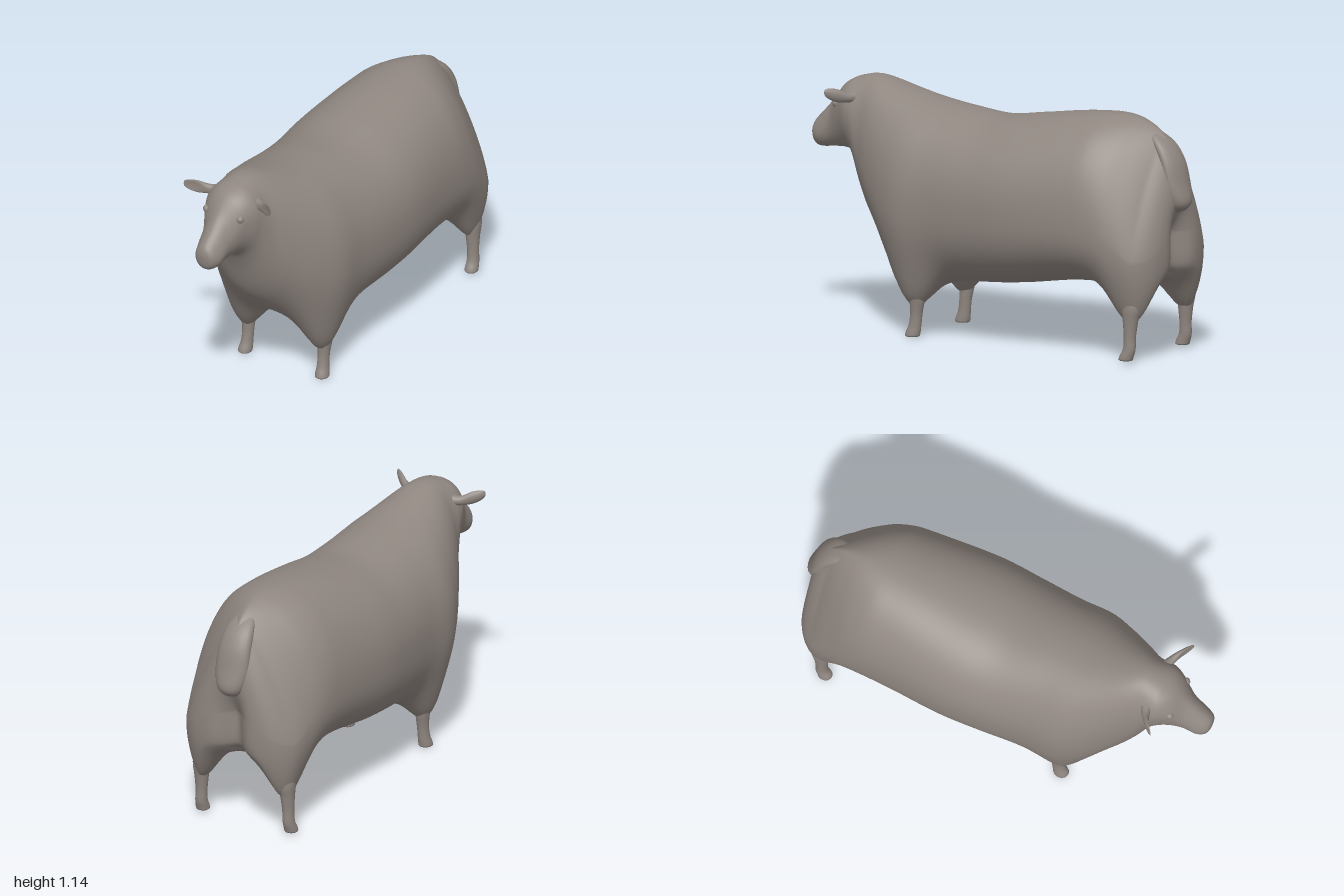
import * as THREE from 'three';

const wool = new THREE.MeshStandardMaterial({ color: 0x8f8680 });
wool.name = 'warm grey';

// Closed tube-like surface: point(u, v) with u around (0..1) and v along (0..1)
function loft(point, around, along) {
  const pos = [], idx = [];
  for (let i = 0; i <= along; i++)
    for (let j = 0; j < around; j++) pos.push(...point(j / around, i / along));
  for (let i = 0; i < along; i++)
    for (let j = 0; j < around; j++) {
      const k = (j + 1) % around;
      const a = i * around + j, b = i * around + k, c = a + around, d = b + around;
      idx.push(a, b, c, b, d, c);
    }
  const g = new THREE.BufferGeometry();
  g.setAttribute('position', new THREE.Float32BufferAttribute(pos, 3));
  g.setIndex(idx);
  g.computeVertexNormals();
  return g;
}

function add(parent, geometry, name) {
  const m = new THREE.Mesh(geometry, wool);
  m.name = name;
  parent.add(m);
  return m;
}

const spline = (pts) => new THREE.CatmullRomCurve3(pts.map((p) => new THREE.Vector3(...p)), false, 'catmullrom', 0.5);
const power = (c, n) => Math.sign(c) * Math.abs(c) ** (2 / n);
const bell = (d, s) => Math.exp(-((d / s) ** 2));
const ramp = (x) => Math.min(1, Math.max(0, x));

// Sections from rump to nose: z, top, bottom, half width, height of widest point
const sections = [
  [-0.963, 0.58, 0.58, 0, 0.58],
  [-0.958, 0.80, 0.44, 0.14, 0.53],
  [-0.932, 0.92, 0.39, 0.225, 0.48],
  [-0.87, 1.01, 0.355, 0.288, 0.46],
  [-0.78, 1.065, 0.34, 0.318, 0.52],
  [-0.66, 1.09, 0.33, 0.34, 0.60],
  [-0.45, 1.08, 0.317, 0.355, 0.64],
  [-0.2, 1.045, 0.28, 0.37, 0.65],
  [0, 1.02, 0.260, 0.36, 0.64],
  [0.2, 1.04, 0.258, 0.343, 0.63],
  [0.36, 1.065, 0.29, 0.338, 0.62],
  [0.48, 1.095, 0.35, 0.293, 0.65],
  [0.6, 1.13, 0.455, 0.222, 0.74],
  [0.67, 1.139, 0.55, 0.175, 0.82],
  [0.73, 1.128, 0.70, 0.148, 0.94],
  [0.77, 1.115, 0.77, 0.135, 0.975],
  [0.82, 1.085, 0.787, 0.108, 0.97],
  [0.88, 1.015, 0.786, 0.077, 0.90],
  [0.94, 0.95, 0.78, 0.067, 0.85],
  [0.975, 0.915, 0.785, 0.053, 0.845],
  [0.993, 0.89, 0.812, 0.034, 0.85],
  [1.0, 0.86, 0.86, 0, 0.86],
];

function bodyGeometry() {
  const heights = spline(sections.map(([z, t, b]) => [z, t, b]));
  const widths = spline(sections.map(([, , , w, m]) => [w, m, 0]));
  return loft((u, v) => {
    const { x: z0, y: top, z: bottom } = heights.getPoint(v);
    const { x: w, y: mid } = widths.getPoint(v);
    const c = Math.cos(u * 2 * Math.PI), s = Math.sin(u * 2 * Math.PI);
    // boxy flanks, a rump sloping off to low haunches, a narrower upper face
    const n = s < 0
      ? 2.05 + 0.4 * ramp((0.65 - z0) / 0.3)
      : 2.1 - 0.8 * ramp((-0.6 - z0) / 0.27) - 0.35 * ramp((z0 - 0.78) / 0.1);
    const x = w * power(c, n);
    let y = mid + power(s, n) * (s > 0 ? top - mid : mid - bottom);
    let z = z0;
    // draw the underside down into shoulders and haunches
    const low = ramp(-s * 1.4);
    y -= low * bell(Math.abs(x) - 0.215, 0.1) * 0.19 * bell(z0 - 0.345, 0.13);
    y -= low * bell(Math.abs(x) - 0.235, 0.1) * 0.2 * bell(z0 + 0.835, 0.13);
    // cleft between the haunches
    z += 0.07 * bell(x, 0.06) * ramp((0.72 - y) / 0.15) * ramp((-0.8 - z0) / 0.12);
    return [x, y, z];
  }, 72, 160);
}

// Vertical limb from the top down, rings: y, x, z, x radius, z radius
function limb(rings) {
  const centre = spline(rings.map(([y, x, z]) => [x, y, z]));
  const radius = spline(rings.map(([, , , a, b]) => [a, b, 0]));
  return loft((u, v) => {
    const p = centre.getPoint(v), r = radius.getPoint(v), a = u * 2 * Math.PI;
    return [p.x + r.x * Math.cos(a), p.y, p.z + r.y * Math.sin(a)];
  }, 20, 30);
}

const frontLeg = [
  [0.29, 0.21, 0.335, 0.034, 0.045], [0.23, 0.21, 0.33, 0.037, 0.047],
  [0.18, 0.208, 0.322, 0.033, 0.039], [0.11, 0.205, 0.327, 0.027, 0.029],
  [0.055, 0.206, 0.334, 0.027, 0.03], [0.02, 0.208, 0.343, 0.031, 0.035],
  [0.002, 0.209, 0.347, 0.029, 0.032], [0, 0.209, 0.347, 0, 0],
];
const hindLeg = [
  [0.32, 0.23, -0.835, 0.03, 0.035], [0.25, 0.23, -0.835, 0.036, 0.045],
  [0.19, 0.23, -0.832, 0.032, 0.036], [0.12, 0.232, -0.83, 0.027, 0.028],
  [0.065, 0.234, -0.828, 0.027, 0.03], [0.03, 0.236, -0.815, 0.03, 0.034],
  [0.012, 0.236, -0.81, 0.028, 0.03], [0.01, 0.236, -0.81, 0, 0],
];
const tail = [
  [1.04, 0, -0.79, 0.03, 0.02], [0.98, 0, -0.86, 0.065, 0.04],
  [0.9, 0, -0.908, 0.08, 0.045], [0.8, 0, -0.935, 0.083, 0.045],
  [0.72, 0, -0.953, 0.066, 0.045], [0.68, 0, -0.945, 0.04, 0.032],
  [0.66, 0, -0.93, 0, 0],
];

// Leaf-shaped ear pointing outwards, thick at the root and cupped to the front
function earGeometry() {
  const path = spline([[0.1, 1.045, 0.715], [0.145, 1.043, 0.733], [0.185, 1.055, 0.755], [0.215, 1.065, 0.778], [0.232, 1.072, 0.795], [0.236, 1.073, 0.8]]);
  const size = spline([[0.024, 0.026, 0], [0.023, 0.02, 0], [0.03, 0.012, 0], [0.025, 0.008, 0], [0.014, 0.005, 0], [0, 0, 0]]);
  return loft((u, v) => {
    const p = path.getPoint(v), r = size.getPoint(v), a = u * 2 * Math.PI;
    const c = Math.cos(a), cup = 0.35 * r.x * c * c * Math.sin(v * Math.PI);
    return [p.x, p.y + r.x * c, p.z + r.y * Math.sin(a) + cup];
  }, 20, 24);
}

export function createModel() {
  const group = new THREE.Group();
  group.name = 'sheep';
  add(group, bodyGeometry(), 'bodyAndHead');
  add(group, limb(tail), 'tail');

  // paired parts, mirrored across the middle
  for (const [side, sign] of [['left', 1], ['right', -1]]) {
    const half = new THREE.Group();
    half.name = side + 'Side';
    half.scale.x = sign;
    add(half, limb(frontLeg), side + 'FrontLeg');
    add(half, limb(hindLeg), side + 'HindLeg');
    add(half, earGeometry(), side + 'Ear');
    const eye = add(half, new THREE.SphereGeometry(0.018, 16, 12), side + 'Eye');
    eye.position.set(0.09, 1.0, 0.828);
    group.add(half);
  }
  return group;
}
